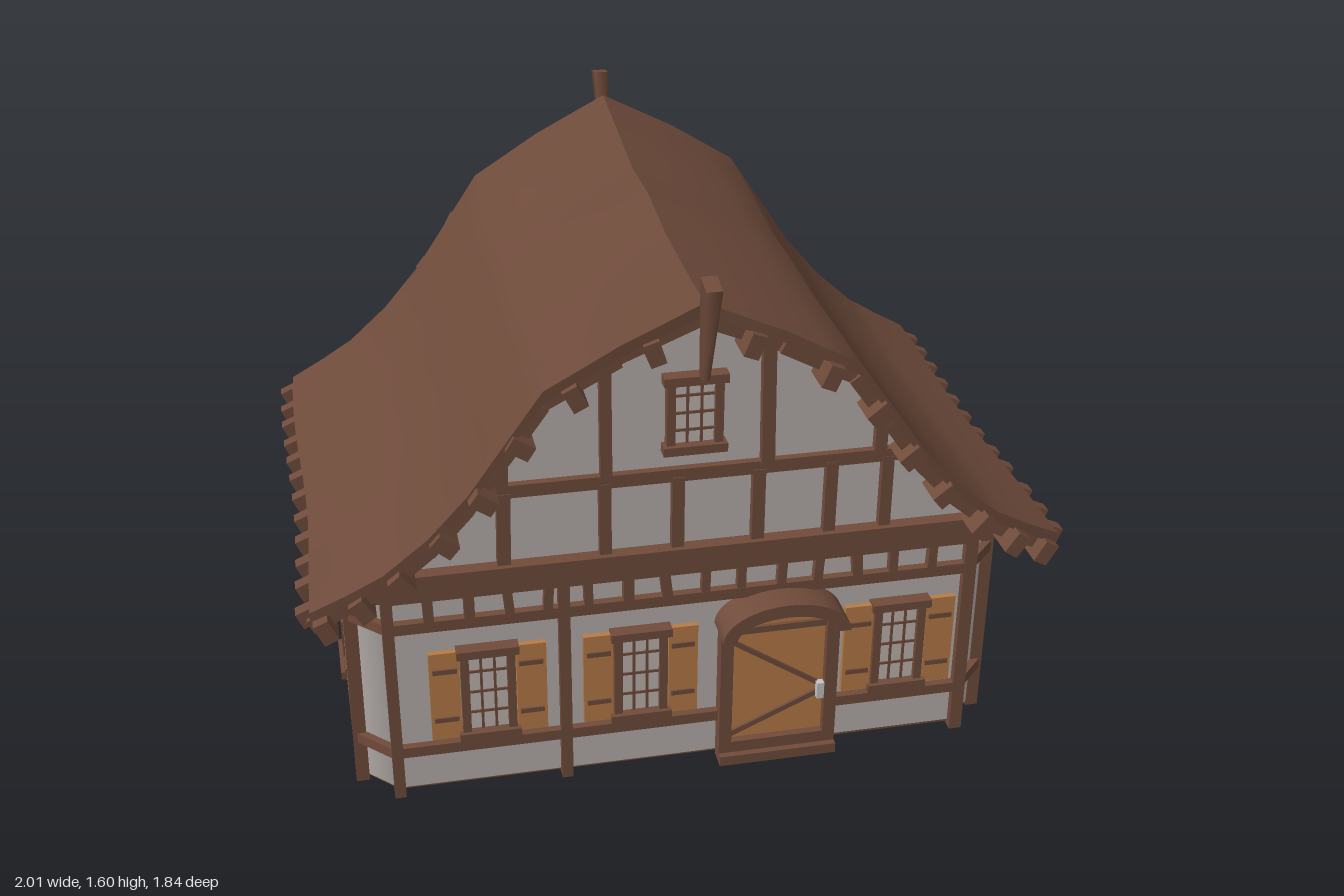
import * as THREE from 'three';

const mat = (name, color, double) => {
  const m = new THREE.MeshStandardMaterial({ color });
  m.name = name;
  if (double) m.side = THREE.DoubleSide;
  return m;
};
const M = {
  timber: mat('timber', 0x704b3a), roof: mat('roof', 0x6d4a3a, true), plaster: mat('plaster', 0xb6afab),
  plank: mat('plank', 0xb77a47, true), glass: mat('glass', 0xbfb5b0), teal: mat('teal', 0x00e0e0), metal: mat('metal', 0xc4c4c4),
};

let seed = 7;
const jitter = (a) => ((seed = (seed * 16807) % 2147483647) / 2147483647 - 0.5) * 2 * a;

function add(parent, name, geo, material, x = 0, y = 0, z = 0) {
  const m = new THREE.Mesh(geo, material);
  m.name = name;
  m.position.set(x, y, z);
  parent.add(m);
  return m;
}
const box = (p, name, w, h, d, material, x, y, z) => add(p, name, new THREE.BoxGeometry(w, h, d), material, x, y, z);
const extrude = (s, depth) => new THREE.ExtrudeGeometry(s, { depth, bevelEnabled: false, curveSegments: 16 });
const polygon = (pts) => new THREE.Shape(pts.map((q) => new THREE.Vector2(...q)));

// Timber lying on a wall, from (u1,v1) to (u2,v2)
function beam(p, u1, v1, u2, v2, w = 0.03, d = 0.03, z = 0.005, name = 'timberBeam') {
  const b = box(p, name, w + jitter(0.003), Math.hypot(u2 - u1, v2 - v1), d + jitter(0.002), M.timber, (u1 + u2) / 2, (v1 + v2) / 2, z);
  b.rotation.z = -Math.atan2(u2 - u1, v2 - v1);
}
const post = (p, u, v1 = 0, v2 = 0.65, w = 0.032) => beam(p, u + jitter(0.005), v1, u + jitter(0.005), v2, w, 0.036);

// Local frame of a wall: x along it, y up, z outwards
function wall(root, name, x, z, turn) {
  const g = new THREE.Group();
  g.name = name;
  g.position.set(x, 0, z);
  g.rotation.y = turn;
  root.add(g);
  return g;
}

// Rails and the row of short studs under the eaves
function belt(p, u0, u1, low = [[u0, u1]]) {
  low.forEach(([a, b]) => beam(p, a, 0.145, b, 0.145, 0.03, 0.034));
  beam(p, u0, 0.54, u1, 0.54, 0.03, 0.034);
  beam(p, u0, 0.637, u1, 0.637, 0.035, 0.04);
  const n = Math.round((u1 - u0) / 0.105);
  for (let i = 1; i < n; i++) post(p, u0 + ((u1 - u0) * i) / n, 0.55, 0.63, 0.026);
}

// Plaster body with cut corners, X half-width, cut cx by cz
function body(root, name, X, z0, z1, cx, cz) {
  const pts = [[-X, z0 + cz], [-X + cx, z0], [X - cx, z0], [X, z0 + cz], [X, z1 - cz], [X - cx, z1], [-X + cx, z1], [-X, z1 - cz]];
  add(root, name, extrude(polygon(pts), 0.684), M.plaster, 0, 0.7, 0).rotation.x = Math.PI / 2;
  add(root, 'floor', extrude(polygon(pts), 0.006), M.timber, 0, 0.018, 0).rotation.x = Math.PI / 2;
}
// Softly shaded panel and rails across a cut corner; f is 1 at the front, -1 at the back
function cutCorner(root, s, f, X, Z, cx, cz) {
  const turn = Math.atan2(s * cz, f * cx), low = (Math.floor((turn * 2) / Math.PI) * Math.PI) / 2 - turn;
  const g = wall(root, 'cornerWall', s * (X - cx / 2), Z - (f * cz) / 2, turn);
  const len = Math.hypot(cx, cz);
  const panel = new THREE.PlaneGeometry(len, 0.684);
  for (let i = 0; i < 4; i++) {
    const a = low + ((i % 2) * Math.PI) / 2;
    panel.attributes.normal.setXYZ(i, Math.sin(a), 0, Math.cos(a));
  }
  add(g, 'cornerPlaster', panel, M.plaster, 0, 0.358, 0.001);
  belt(g, -len / 2, len / 2);
}

function casement(p, u, v, w, h, shutters = true) {
  const g = new THREE.Group();
  g.name = 'window';
  g.position.set(u, v, 0);
  p.add(g);
  box(g, 'glass', w - 0.03, h - 0.03, 0.008, M.glass, 0, 0, 0.008);
  for (const s of [-1, 1]) {
    box(g, 'windowJamb', 0.022, h, 0.03, M.timber, s * (w / 2 - 0.011), 0, 0.012);
    box(g, 'muntin', 0.007, h - 0.03, 0.012, M.timber, s * w * 0.125, 0, 0.01);
    box(g, 'windowLedge', w + 0.02, 0.024, 0.042, M.timber, 0, s * (h / 2 - 0.008), 0.017);
    if (!shutters) continue;
    box(g, 'shutter', 0.08, h - 0.005, 0.016, M.plank, s * (w / 2 + 0.043), 0, 0.014);
    for (const y of [-0.26, 0.29]) box(g, 'shutterStrap', 0.064, 0.014, 0.008, M.timber, s * (w / 2 + 0.042), y * h, 0.023);
  }
  for (const k of [-1, 0, 1]) box(g, 'muntin', w - 0.03, 0.007, 0.012, M.timber, 0, k * h * 0.23, 0.01);
}

// Straight-line lookup through a short list of points
function lerpList(list, t) {
  const f = Math.min(Math.max(t, 0), 0.99999) * (list.length - 1), i = Math.floor(f);
  return list[i].map((a, k) => a + (list[i + 1][k] - a) * (f - i));
}
function sheet(p, name, fn, nu, nv, material) {
  const pos = [], idx = [];
  for (let j = 0; j <= nv; j++) for (let i = 0; i <= nu; i++) pos.push(...fn(i / nu, j / nv));
  for (let j = 0; j < nv; j++) for (let i = 0; i < nu; i++) {
    const a = j * (nu + 1) + i, b = a + nu + 1;
    idx.push(a, b, a + 1, a + 1, b, b + 1);
  }
  const g = new THREE.BufferGeometry();
  g.setAttribute('position', new THREE.Float32BufferAttribute(pos, 3));
  g.setIndex(idx);
  g.computeVertexNormals();
  add(p, name, g, material);
}

// Sagging roof: half profile from ridge to eave, ridge rises from zA (front) to zB (back)
function roof(root, name, { profile, rises, zA, zB, backCut, purlins, tails, under, barge }) {
  const g = new THREE.Group();
  g.name = name;
  root.add(g);
  const half = profile.at(-1)[0];
  const point = (s, u, v, drop = 0) => {
    const [x, y] = lerpList(profile, u), k = x / half;
    const edge = v < 0.5 ? 0.1 * k * (1 - k) * (1 - 2 * v) : backCut * Math.min(1, k * 2) * (2 * v - 1);
    return [s * x + k * 0.008 * (Math.sin(v * 7 + s) - 1), y + lerpList(rises, v)[0] * (1 - k) - drop, zA + (zB - zA) * v + edge];
  };
  const n = profile.length - 1, T = 0.032;
  for (const s of [-1, 1]) {
    const flip = (u) => (s > 0 ? u : 1 - u);
    sheet(g, 'roofTop', (u, v) => point(s, flip(u), 1 - v), n * 2, 12, M.roof);
    sheet(g, 'roofUnderside', (u, v) => point(s, flip(u), v, T), n * 2, 12, under);
    sheet(g, 'eaveEdge', (u, v) => point(s, 1, u, v * T), 12, 1, M.roof);
    for (const e of [0, 1]) {
      sheet(g, 'gableEdge', (u, v) => point(s, u, e, v * T), n * 2, 1, M.roof);
      const inward = e ? 1 : -1;
      // Bargeboard under the roof edge
      for (let i = 0; barge && i < n; i++) {
        const a = point(s, i / n, e, T + 0.02), b = point(s, (i + 1) / n, e, T + 0.02);
        beam(g, a[0], a[1], b[0], b[1], 0.04, 0.035, a[2] + inward * 0.04, 'bargeboard');
      }
      // Purlin ends poking out of the gable
      for (let i = 0; i < purlins[e]; i++) {
        const u = (i + 0.6) / purlins[e];
        const a = point(s, u - 0.03, e, T + 0.03), b = point(s, u + 0.03, e, T + 0.03);
        const m = box(g, 'purlinEnd', 0.04, 0.062, 0.09, M.timber, (a[0] + b[0]) / 2, (a[1] + b[1]) / 2, a[2] + inward * (0.022 + jitter(0.01)));
        m.rotation.z = Math.atan2(b[1] - a[1], b[0] - a[0]) + jitter(0.1);
      }
    }
    // Rafter tails along the eaves
    for (let i = 0; i < tails; i++) {
      const a = point(s, 1, (i + 0.5) / tails, T);
      const m = box(g, 'rafterTail', 0.12, 0.046, 0.036, M.timber, a[0] - s * 0.028, a[1] + 0.014, a[2] + jitter(0.01));
      m.rotation.z = -s * 0.42;
    }
  }
}

// Solid plaster gable following the roof profile
function gable(root, name, profile, maxX, z0, z1) {
  const pts = profile.filter((q) => q[0] <= maxX).map(([x, y]) => [x, y - 0.045]);
  pts.push([maxX, pts.at(-1)[1] - 0.03], [maxX, 0.655]);
  const left = pts.slice(1).reverse().map(([x, y]) => [-x, y]);
  add(root, name, extrude(polygon([...left, ...pts]), z1 - z0), M.plaster, 0, 0, z0);
}

// Arched outline used by the door and its frame
function arch(Cls, w, spring, rise, base) {
  const s = new Cls();
  s.moveTo(-w, base);
  s.lineTo(w, base);
  s.lineTo(w, spring);
  s.absellipse(0, spring, w, rise, 0, Math.PI, false);
  s.lineTo(-w, base);
  return s;
}
function door(p) {
  const g = new THREE.Group();
  g.name = 'door';
  g.position.x = 0.26;
  p.add(g);
  const frame = arch(THREE.Shape, 0.165, 0.43, 0.095, 0);
  frame.holes.push(arch(THREE.Path, 0.13, 0.43, 0.06, 0.065));
  add(g, 'doorFrame', extrude(frame, 0.042), M.timber);
  add(g, 'doorLeaf', extrude(arch(THREE.Shape, 0.14, 0.43, 0.066, 0.02), 0.02), M.plank);
  const hood = new THREE.Shape();
  hood.absellipse(0, 0.44, 0.175, 0.1, 0, Math.PI, false);
  hood.absellipse(0, 0.44, 0.137, 0.062, Math.PI, 0, true);
  add(g, 'doorHood', extrude(hood, 0.105), M.timber);
  beam(g, -0.135, 0.42, 0.135, 0.42, 0.02, 0.012, 0.024, 'doorBrace');
  beam(g, -0.135, 0.39, 0.13, 0.21, 0.016, 0.012, 0.024, 'doorBrace');
  beam(g, -0.135, 0.08, 0.13, 0.2, 0.016, 0.012, 0.024, 'doorBrace');
  box(g, 'doorHandle', 0.02, 0.05, 0.02, M.metal, 0.118, 0.205, 0.035);
  box(g, 'doorStep', 0.33, 0.03, 0.06, M.timber, 0, 0.015, 0.03);
}

export function createModel() {
  const root = new THREE.Group();
  root.name = 'timberHouse';
  seed = 7;
  const PI = Math.PI;
  const mainProfile = [[0, 1.47], [0.2, 1.385], [0.385, 1.285], [0.48, 1.15], [0.57, 1.02], [0.67, 0.908], [0.78, 0.815], [0.87, 0.765], [0.96, 0.72]];
  const wingProfile = [[0, 1.21], [0.17, 1.11], [0.27, 0.98], [0.36, 0.84], [0.42, 0.775], [0.49, 0.72]];

  // Plaster bodies, floors and floor patches
  body(root, 'mainWalls', 0.87, -0.33, 0.66, 0.09, 0.09);
  body(root, 'wingWalls', 0.41, -0.81, -0.2, 0.06, 0.05);
  gable(root, 'mainGable', mainProfile, 0.87, -0.37, 0.69);
  gable(root, 'wingGable', wingProfile, 0.41, -0.81, -0.3);
  const patches = [[[0.74, -0.28], [0.43, -0.3], [0.44, -0.02], [0.76, 0.14]], [[-0.46, 0], [-0.45, -0.31], [-0.77, -0.31], [-0.79, 0]], [[0.41, 0.45], [0.52, 0.57], [0.26, 0.6]]];
  for (const q of patches) add(root, 'floorPatch', new THREE.ShapeGeometry(polygon(q)), M.teal, 0, 0.009, 0).rotation.x = PI / 2;

  // Roofs and ridge finials
  roof(root, 'mainRoof', {
    profile: mainProfile, rises: [[-0.005], [-0.01], [-0.008], [0.015], [0.008], [0.04], [0.07]],
    zA: 0.83, zB: -0.495, backCut: 0.03, purlins: [8, 8], tails: 12, under: M.timber, barge: true,
  });
  roof(root, 'wingRoof', {
    profile: wingProfile, rises: [[0], [0], [0], [0.005], [0.03]],
    zA: -0.32, zB: -0.885, backCut: 0, purlins: [0, 5], tails: 0, under: M.plank, barge: false,
  });
  for (const [z, y, tilt, h] of [[0.87, 1.41, 0.2, 0.27], [-0.525, 1.5, -0.2, 0.2]]) {
    const geo = new THREE.CylinderGeometry(0.045, 0.022, h, 4).rotateY(PI / 4).scale(0.62, 1, 1);
    add(root, 'ridgeFinial', geo, M.timber, 0, y, z).rotation.x = tilt;
  }

  // Front wall
  const front = wall(root, 'frontWall', 0, 0.66, 0);
  belt(front, -0.78, 0.78, [[-0.78, 0.1], [0.42, 0.78]]);
  [-0.78, -0.32, 0.79].forEach((u) => post(front, u));
  [-0.53, -0.12, 0.6].forEach((u) => casement(front, u, 0.315, 0.145, 0.28));
  door(front);

  // Front gable
  const fg = wall(root, 'frontGable', 0, 0.69, 0);
  beam(fg, -0.91, 0.69, 0.91, 0.69, 0.07, 0.05, 0.012);
  beam(fg, -0.6, 0.935, 0.6, 0.935, 0.034);
  [-0.48, -0.22, -0.03, 0.18, 0.37, 0.52].forEach((u) => post(fg, u, 0.72, 0.93));
  [[-0.48, 1.09], [-0.22, 1.33], [0.2, 1.34], [0.5, 1.07]].forEach(([u, v]) => post(fg, u, 0.94, v));
  casement(fg, 0.01, 1.11, 0.145, 0.21, false);

  for (const s of [1, -1]) {
    for (const f of [1, -1]) cutCorner(root, s, f, 0.87, f > 0 ? 0.66 : -0.33, 0.09, 0.09);
    cutCorner(root, s, -1, 0.41, -0.81, 0.06, 0.05);

    // Main side wall, placed by z
    const side = wall(root, s > 0 ? 'leftWall' : 'rightWall', s * 0.87, 0, (s * PI) / 2);
    belt(side, ...(s > 0 ? [-0.57, 0.24] : [-0.24, 0.57]));
    [0.57, s > 0 ? 0.07 : 0, -0.23].forEach((z) => post(side, -s * z));
    if (s > 0) beam(side, -0.06, 0.15, 0.22, 0.53, 0.026);
    casement(side, -s * (s > 0 ? 0.33 : 0.27), 0.315, 0.145, 0.28);

    // Strip of back wall beside the wing
    const back = wall(root, 'backWall', s * 0.6, -0.33, PI);
    belt(back, -0.18, 0.18);
    [-0.175, 0.17].forEach((u) => post(back, s * u));
    if (s > 0) casement(back, 0, 0.315, 0.145, 0.28);

    // Wing side
    const ws = wall(root, 'wingSideWall', s * 0.41, -0.545, (s * PI) / 2);
    belt(ws, -0.215, 0.215);
    beam(ws, -0.24, 0.685, 0.28, 0.685, 0.06, 0.04);
    [-0.2, 0.215].forEach((u) => post(ws, s * u));
    if (s > 0) casement(ws, 0.035, 0.315, 0.145, 0.28);
    else {
      post(ws, 0);
      beam(ws, -0.2, 0.53, -0.01, 0.15, 0.026);
      beam(ws, 0.19, 0.53, 0.01, 0.15, 0.026);
    }
  }

  // Wing end wall and gable
  const we = wall(root, 'wingEndWall', 0, -0.81, PI);
  belt(we, -0.35, 0.35);
  [-0.35, 0.35].forEach((u) => post(we, u));
  casement(we, 0, 0.315, 0.145, 0.28);
  beam(we, -0.45, 0.69, 0.45, 0.69, 0.06, 0.045);
  post(we, 0, 0.72, 1.15);
  beam(we, -0.27, 0.9, 0.27, 0.9);
  // Back gable of the main house
  const bg = wall(root, 'backGable', 0, -0.37, PI);
  beam(bg, -0.9, 0.69, 0.9, 0.69, 0.07, 0.045);
  beam(bg, -0.6, 0.935, 0.6, 0.935, 0.034);
  post(bg, 0, 1.1, 1.42);
  for (const s of [-1, 1]) {
    beam(we, s * 0.02, 0.72, s * 0.26, 0.93, 0.026);
    beam(we, s * 0.02, 0.92, s * 0.15, 1.06, 0.026);
    post(we, s * 0.27, 0.72, 0.9);
    beam(bg, 0, 1.15, s * 0.26, 1.31, 0.028);
    beam(bg, s * 0.1, 1.1, s * 0.45, 1.13, 0.028);
    beam(bg, s * 0.36, 0.95, s * 0.36, 1.24, 0.028);
    beam(bg, s * 0.5, 0.72, s * 0.62, 0.92, 0.028);
    post(bg, s * 0.47, 0.72, 1.08);
  }
  return root;
}
